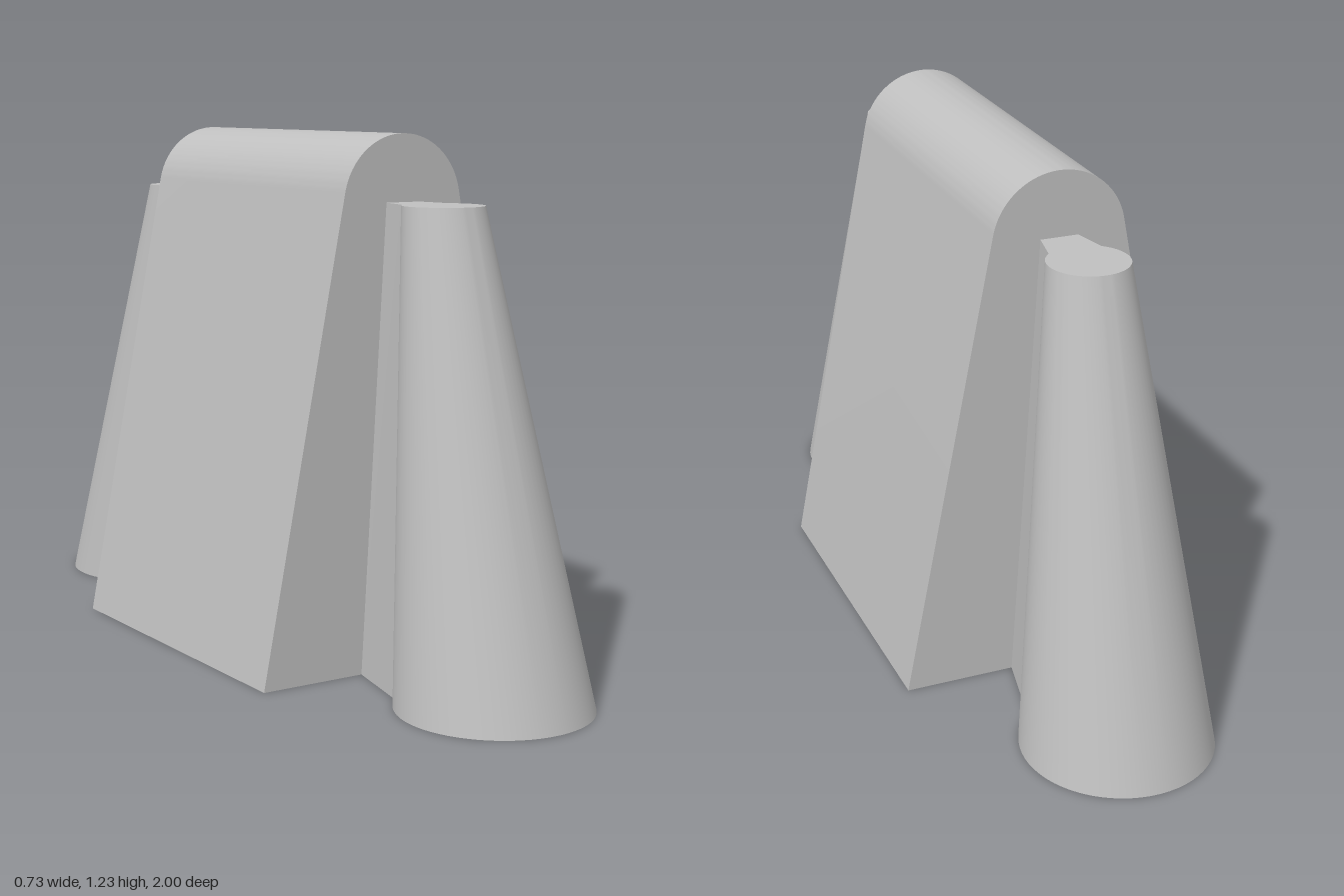
import * as THREE from 'three';
import { toCreasedNormals } from 'three/addons/utils/BufferGeometryUtils.js';

const CREASE = 0.5;

// Tapered body with a rounded crest, extruded along z
function bodyGeometry() {
  const halfBase = 0.367, r = 0.158, cy = 1.07, tilt = 0.19, depth = 0.85;
  const shape = new THREE.Shape();
  shape.moveTo(-halfBase, 0);
  shape.lineTo(halfBase, 0);
  shape.absarc(0, cy, r, tilt, Math.PI - tilt, false);
  shape.closePath();
  const geo = new THREE.ExtrudeGeometry(shape, { depth, bevelEnabled: false, curveSegments: 32 });
  geo.translate(0, 0, -depth / 2);
  return toCreasedNormals(geo, CREASE);
}

// Keyhole outline at one height: a round column joined to the body by a flared web
function keyhole(y, r, cz) {
  const neck = 0.74, steps = 48, webHalf = r * 0.48, webZ = 0.422;
  const pts = [new THREE.Vector3(-webHalf, y, webZ)];
  for (let i = 0; i <= steps; i++) {
    const a = (Math.PI - neck) * (2 * i / steps - 1);
    pts.push(new THREE.Vector3(r * Math.sin(a), y, cz + r * Math.cos(a)));
  }
  pts.push(new THREE.Vector3(webHalf, y, webZ));
  return pts;
}

// Leaning buttress lofted between its bottom and top outlines
function buttressGeometry() {
  const height = 1.075, z0 = 0.78, z1 = 0.577;
  const bottom = keyhole(0, 0.22, z0), top = keyhole(height, 0.092, z1);
  const c0 = new THREE.Vector3(0, 0, z0), c1 = new THREE.Vector3(0, height, z1);
  const tris = [];
  bottom.forEach((b, i) => {
    const j = (i + 1) % bottom.length;
    tris.push(b, bottom[j], top[j], b, top[j], top[i]); // side
    tris.push(c1, top[i], top[j], c0, bottom[j], b);    // caps
  });
  const geo = new THREE.BufferGeometry().setFromPoints(tris);
  return toCreasedNormals(geo, CREASE);
}

export function createModel() {
  const group = new THREE.Group();
  const grey = new THREE.MeshStandardMaterial({ color: 0xbfbfbf });
  grey.name = 'plain grey';

  const body = new THREE.Mesh(bodyGeometry(), grey);
  body.name = 'body';
  group.add(body);

  // Matching buttresses at the front and back
  const geo = buttressGeometry();
  ['frontButtress', 'backButtress'].forEach((name, i) => {
    const mesh = new THREE.Mesh(geo, grey);
    mesh.name = name;
    mesh.rotation.y = i * Math.PI;
    group.add(mesh);
  });
  return group;
}
